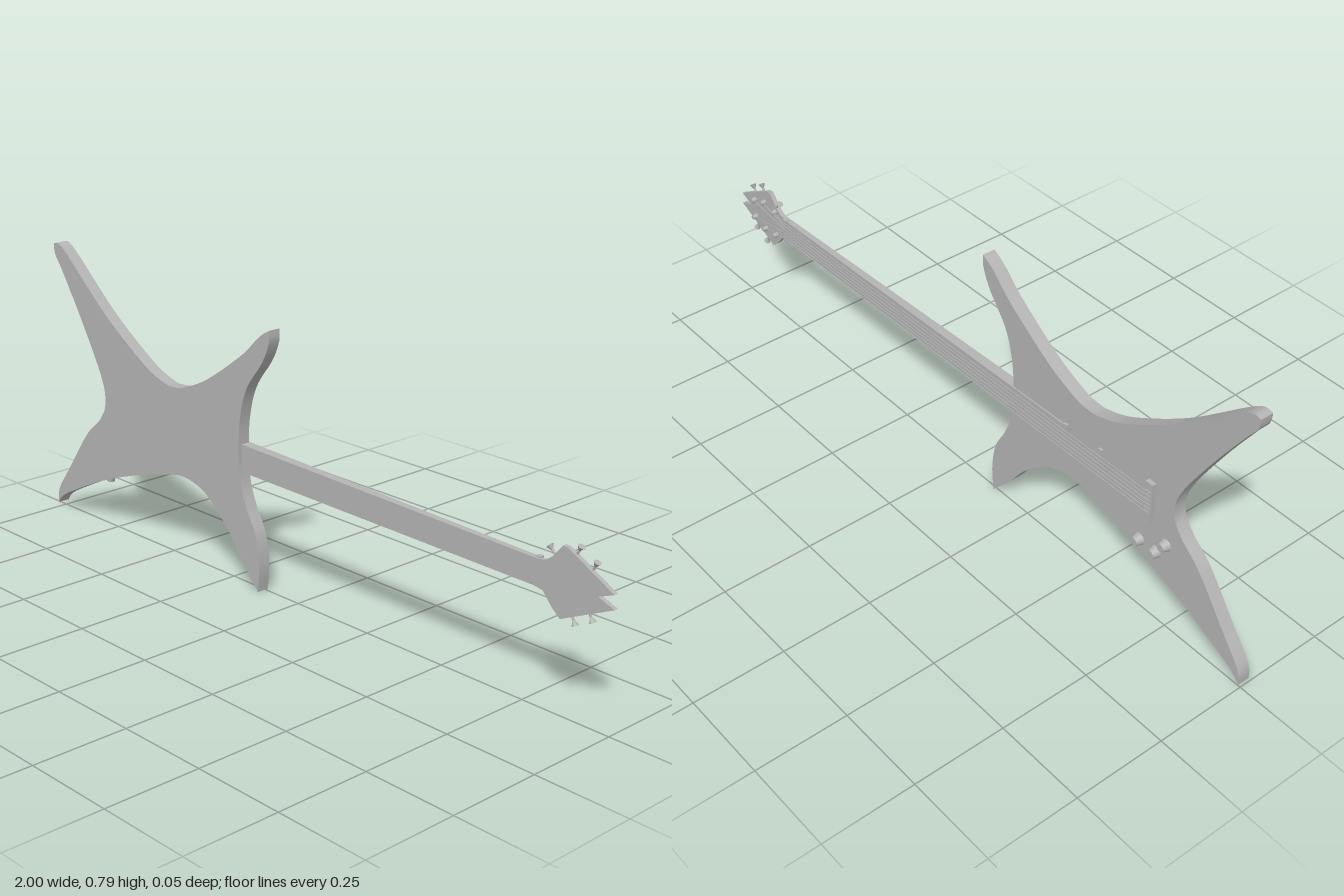
import * as THREE from 'three';

const grey = new THREE.MeshStandardMaterial({ color: 0xb4b4b4 });
grey.name = 'plain grey';

const V = (x, y, z) => new THREE.Vector3(x, y, z);
const neckY = (x) => 0.348 - 0.0235 * (x + 0.2); // centre line of the slightly tilted neck

function add(group, name, geometry) {
  const mesh = new THREE.Mesh(geometry, grey);
  mesh.name = name;
  group.add(mesh);
  return mesh;
}

// Flat plate cut from a shape, between two depths
function plate(shape, z0, z1) {
  const g = new THREE.ExtrudeGeometry(shape, { depth: z1 - z0, bevelEnabled: false, curveSegments: 10 });
  return g.translate(0, 0, z0);
}

// Round rod from a to b
function rod(a, b, ra, rb = ra, sides = 10) {
  const d = b.clone().sub(a);
  const g = new THREE.CylinderGeometry(rb, ra, d.length(), sides);
  g.applyQuaternion(new THREE.Quaternion().setFromUnitVectors(V(0, 1, 0), d.normalize()));
  const m = a.clone().add(b).multiplyScalar(0.5);
  return g.translate(m.x, m.y, m.z);
}

// Box along x whose ends differ; each end is [x, height, back z, front z]
function taperedBar(a, b) {
  const g = new THREE.BoxGeometry(1, 1, 1).toNonIndexed();
  const p = g.attributes.position;
  for (let i = 0; i < p.count; i++) {
    const [x, h, back, front] = p.getX(i) < 0 ? a : b;
    p.setXYZ(i, x, neckY(x) + p.getY(i) * h, p.getZ(i) > 0 ? back : front);
  }
  g.computeVertexNormals();
  return g;
}

// Four curved sides of the body, joined at the horn tips
const bodySides = [
  [[-0.97, 0.787], [-0.945, 0.788], [-0.9, 0.757], [-0.74, 0.623], [-0.58, 0.52], [-0.5, 0.488], [-0.46, 0.483],
    [-0.41, 0.492], [-0.313, 0.537], [-0.18, 0.628], [-0.115, 0.687], [-0.077, 0.711]],
  [[-0.077, 0.711], [-0.079, 0.676], [-0.104, 0.623], [-0.163, 0.543], [-0.19, 0.457], [-0.196, 0.366],
    [-0.19, 0.286], [-0.168, 0.222], [-0.132, 0.152], [-0.12, 0.072], [-0.126, 0]],
  [[-0.126, 0], [-0.158, 0.035], [-0.195, 0.078], [-0.243, 0.142], [-0.313, 0.206], [-0.366, 0.232], [-0.43, 0.241],
    [-0.5, 0.227], [-0.634, 0.19], [-0.794, 0.131], [-0.928, 0.067], [-0.98, 0.037], [-1, 0.013]],
  [[-1, 0.013], [-0.992, 0.06], [-0.933, 0.142], [-0.848, 0.258], [-0.783, 0.318], [-0.757, 0.372],
    [-0.773, 0.447], [-0.858, 0.596], [-0.938, 0.719], [-0.965, 0.757], [-0.97, 0.787]],
];

export function createModel() {
  const guitar = new THREE.Group();
  guitar.name = 'guitar';

  // Four-horned body
  const outline = new THREE.Shape();
  outline.moveTo(-0.97, 0.787);
  for (const side of bodySides) outline.splineThru(side.slice(1).map(([x, y]) => new THREE.Vector2(x, y)));
  add(guitar, 'body', plate(outline, -0.009, 0.026));

  // Neck and fingerboard
  add(guitar, 'neck', taperedBar([-0.21, 0.075, 0.016, -0.009], [0.8, 0.066, 0.006, -0.006]));
  add(guitar, 'fingerboard', taperedBar([-0.39, 0.077, -0.008, -0.013], [0.78, 0.066, -0.005, -0.009]));
  add(guitar, 'nut', taperedBar([0.772, 0.072, 0, -0.013], [0.786, 0.072, 0, -0.013]));

  // Arrow-shaped headstock with a notched end
  const head = new THREE.Shape([
    [0.775, 0.357], [0.803, 0.36], [0.825, 0.376], [0.853, 0.409], [0.868, 0.407], [0.997, 0.337], [0.954, 0.32],
    [1, 0.303], [0.853, 0.235], [0.83, 0.254], [0.802, 0.287], [0.775, 0.292],
  ].map(([x, y]) => new THREE.Vector2(x, y)));
  add(guitar, 'headstock', plate(head, -0.006, 0.006));

  // Tuning keys: a stem and flared button square to the edge
  const keys = [[0.825, 0.378, -0.7, 0.7], [0.885, 0.396, 0.47, 0.88], [0.93, 0.372, 0.47, 0.88],
    [0.88, 0.25, 0.42, -0.9], [0.927, 0.272, 0.42, -0.9]];
  for (const [x, y, dx, dy] of keys) {
    const at = (t) => V(x + dx * t, y + dy * t, -0.003);
    add(guitar, 'tuningStem', rod(at(-0.01), at(0.018), 0.003));
    add(guitar, 'tuningButton', rod(at(0.012), at(0.024), 0.003, 0.009));
  }

  // Bridge and two slim pickups
  const bars = [['bridge', -0.683, 0.024, 0.118, 0.021], ['pickup', -0.513, 0.012, 0.09, 0.015],
    ['pickup', -0.393, 0.012, 0.09, 0.016]];
  for (const [name, x, w, h, z] of bars) {
    add(guitar, name, taperedBar([x - w / 2, h, -0.008, -z], [x + w / 2, h, -0.008, -z]));
  }

  // Strings run from the bridge over the nut to the tuning posts
  const posts = [[0.83, 0.36], [0.882, 0.366], [0.93, 0.35], [0.93, 0.294], [0.882, 0.278], [0.83, 0.284]];
  posts.forEach(([px, py], i) => {
    const s = 2.5 - i;
    const bridge = V(-0.683, neckY(-0.683) + s * 0.0125, -0.021);
    const nut = V(0.779, neckY(0.779) + s * 0.0105, -0.013);
    const post = V(px, py, -0.013);
    add(guitar, 'string', rod(bridge, nut, 0.0013, 0.0013, 6));
    add(guitar, 'stringEnd', rod(nut, post, 0.0013, 0.0013, 6));
    add(guitar, 'tuningPost', rod(V(px, py, -0.005), V(px, py, -0.02), 0.008, 0.006, 12));
    add(guitar, 'saddle', new THREE.BoxGeometry(0.018, 0.009, 0.004).translate(bridge.x, bridge.y, -0.021));
  });

  // Control knobs
  for (const [x, y] of [[-0.655, 0.219], [-0.71, 0.219], [-0.74, 0.262]]) {
    add(guitar, 'knob', rod(V(x, y, -0.008), V(x, y, -0.028), 0.017, 0.011, 20));
  }

  // Cable socket on the lower edge
  add(guitar, 'socket', rod(V(-0.763, 0.155, 0.009), V(-0.768, 0.138, 0.009), 0.012, 0.012, 16));

  return guitar;
}
